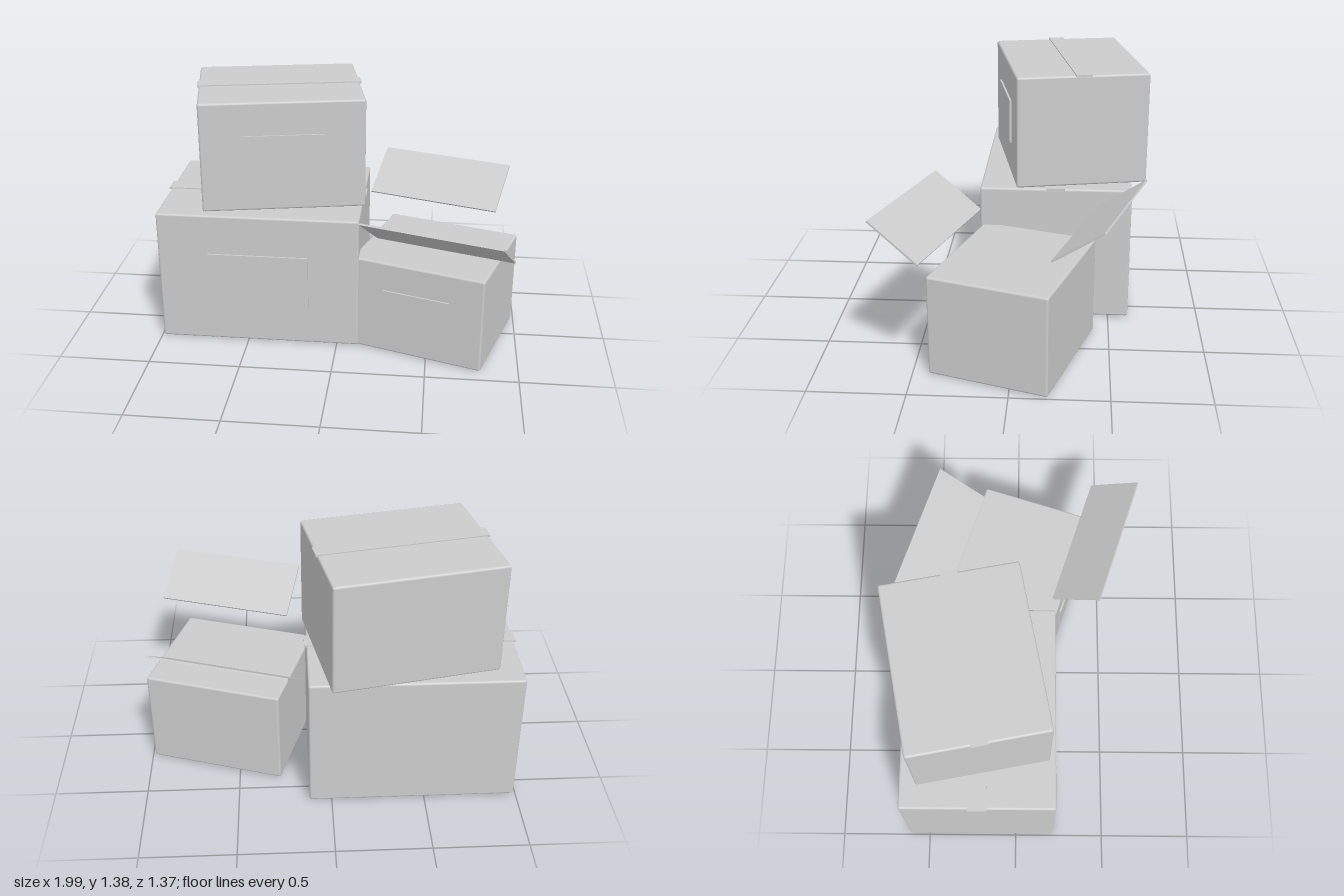
import * as THREE from 'three';
import { RoundedBoxGeometry } from 'three/addons/geometries/RoundedBoxGeometry.js';

export function createModel() {
  const model = new THREE.Group();
  model.name = 'cardboardBoxStack';

  const card = new THREE.MeshStandardMaterial({ color: 0xcccccc });
  card.name = 'plain card';

  function addMesh(parent, name, geometry, x, y, z) {
    const mesh = new THREE.Mesh(geometry, card);
    mesh.name = name;
    mesh.position.set(x, y, z);
    parent.add(mesh);
    return mesh;
  }

  // A bevelled carton standing on its group's origin, with a front label and optional top tape
  function addCarton(name, [w, h, d], [x, y, z], turn, taped) {
    const carton = new THREE.Group();
    carton.name = name;
    carton.position.set(x, y, z);
    carton.rotation.y = turn;
    addMesh(carton, 'carton', new RoundedBoxGeometry(w, h, d, 2, 0.012), 0, h / 2, 0);
    addMesh(carton, 'label', new THREE.BoxGeometry(w * 0.5, h * 0.4, 0.02), 0, h / 2, d / 2);
    if (taped) {
      addMesh(carton, 'tape', new THREE.BoxGeometry(w * 1.02, 0.012, d * 0.12), 0, h, 0);
    }
    model.add(carton);
  }

  addCarton('largeBox', [1.11, 0.757, 0.822], [-0.435, 0, -0.2], 0, true);
  addCarton('upperBox', [0.887, 0.61, 0.714], [-0.365, 0.765, -0.255], 0.193, true);
  addCarton('openBox', [0.75, 0.54, 0.642], [0.535, 0, 0], -0.31, false);

  // Two flaps raised above the open box, outer edges higher
  for (const side of [1, -1]) {
    const flap = addMesh(model, side > 0 ? 'frontFlap' : 'backFlap',
      new THREE.BoxGeometry(0.755, 0.01, 0.322), 0.54, 0.763, side * 0.44);
    flap.rotation.set(-side * 0.62, -0.31, 0, 'YXZ');
  }

  return model;
}
